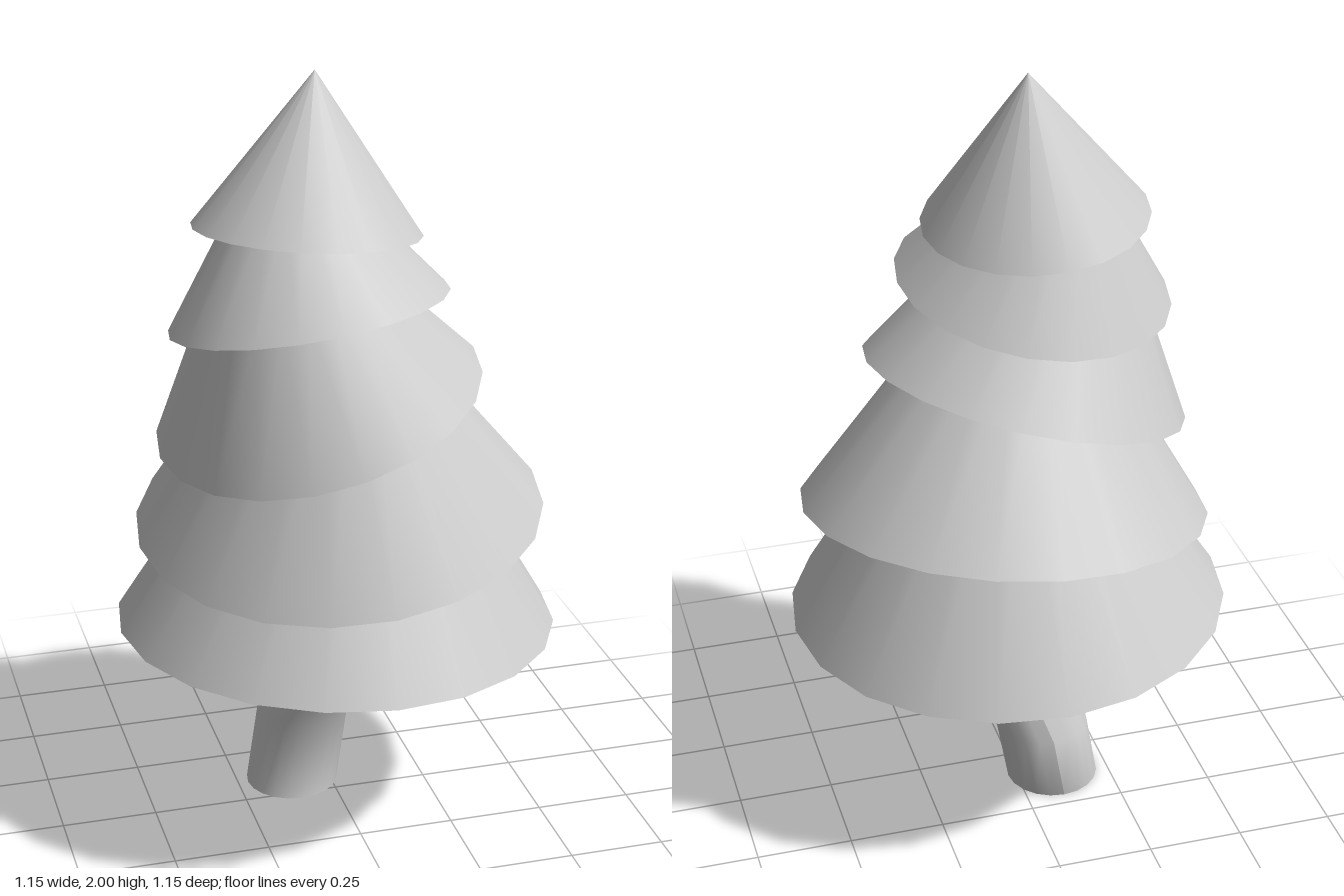
import * as THREE from 'three';

const SIDES = 20;
const material = new THREE.MeshStandardMaterial({ color: 0xcccccc });
const UP = new THREE.Vector3(0, 1, 0);

// One tier of foliage: a closed cone, cut off where the tier above hides it,
// leaning so that its base plane rises by slopeX and slopeZ.
function makeTier({ name, center, slopeX, slopeZ, radius, height, keep }) {
  const h = height * keep;
  const geometry = new THREE.CylinderGeometry(radius * (1 - keep), radius, h, SIDES, 1, false);
  geometry.translate(0, h / 2, 0);
  const tier = new THREE.Mesh(geometry, material);
  tier.name = name;
  tier.position.set(...center);
  tier.quaternion.setFromUnitVectors(UP, new THREE.Vector3(-slopeX, 1, -slopeZ).normalize());
  return tier;
}

// Crooked trunk: a cylinder whose level rings are moved onto a bent centre line
function makeTrunk() {
  const line = [[-0.1, 0, -0.092], [-0.06, 0.2, -0.122], [0.065, 0.56, 0.05]];
  const geometry = new THREE.CylinderGeometry(0.123, 0.123, 2, SIDES, 2);
  geometry.rotateY(Math.PI);
  const p = geometry.attributes.position;
  for (let i = 0; i < p.count; i++) {
    const [x, y, z] = line[Math.round(p.getY(i)) + 1];
    p.setXYZ(i, p.getX(i) + x, y, p.getZ(i) + z);
  }
  geometry.computeVertexNormals();
  const trunk = new THREE.Mesh(geometry, material);
  trunk.name = 'trunk';
  return trunk;
}

export function createModel() {
  const tree = new THREE.Group();
  tree.name = 'tree';
  tree.add(makeTrunk());

  const tiers = [
    { name: 'bottomTier', center: [0, 0.535, 0], slopeX: -0.026, slopeZ: 0.01, radius: 0.576, height: 0.93, keep: 0.65 },
    { name: 'lowerTier', center: [0.012, 0.83, -0.01], slopeX: 0.095, slopeZ: -0.144, radius: 0.532, height: 0.78, keep: 0.6 },
    { name: 'middleTier', center: [-0.055, 1.15, 0.033], slopeX: 0.274, slopeZ: -0.12, radius: 0.425, height: 0.69, keep: 0.5 },
    { name: 'upperTier', center: [-0.088, 1.413, 0.07], slopeX: 0.128, slopeZ: 0.149, radius: 0.356, height: 0.48, keep: 0.6 },
    { name: 'topTier', center: [-0.083, 1.611, 0.037], slopeX: -0.078, slopeZ: 0.088, radius: 0.288, height: 0.392, keep: 1 },
  ];
  for (const tier of tiers) tree.add(makeTier(tier));
  return tree;
}
